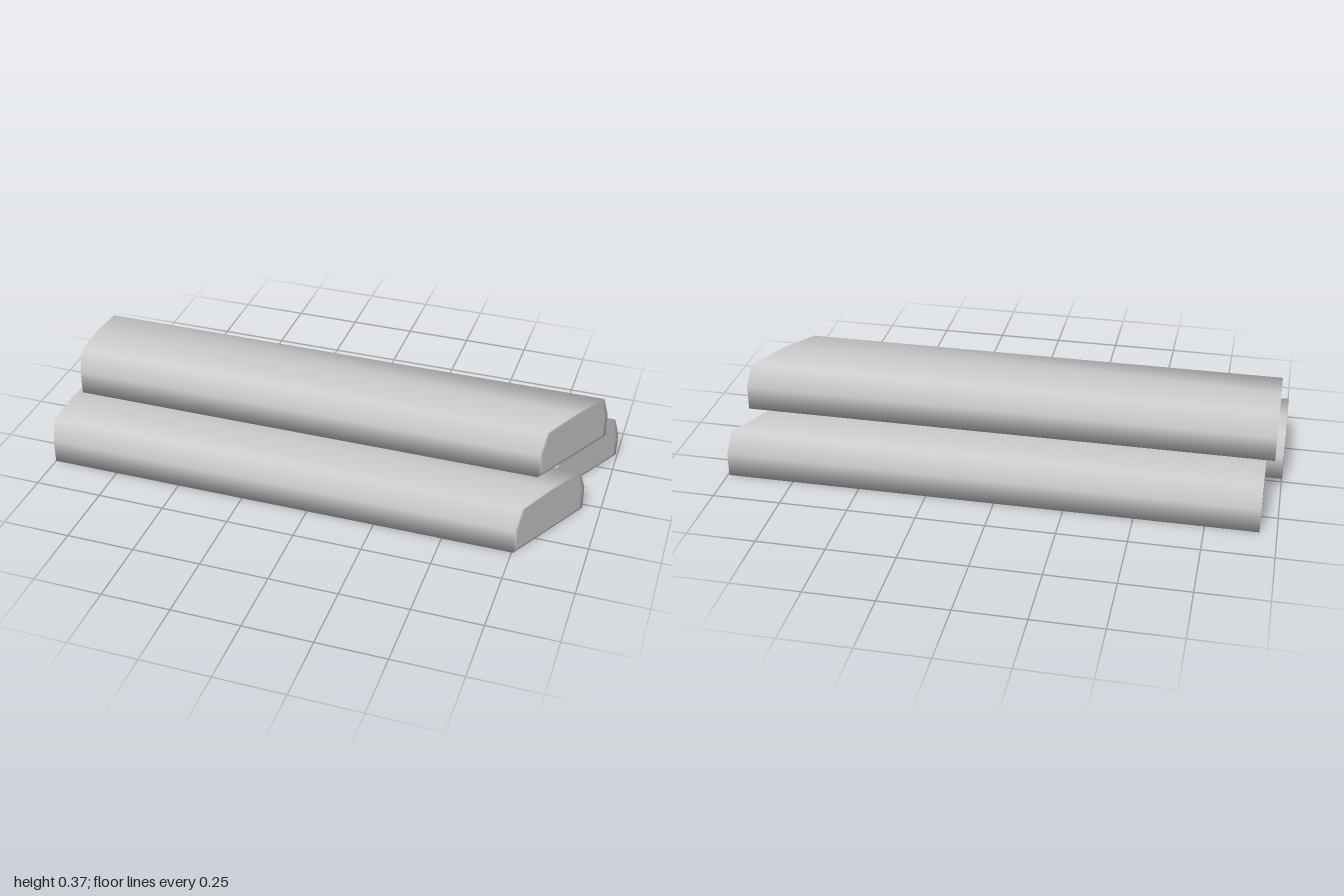
import * as THREE from 'three';

// Half-rounded plank section, as [z, y]
const SECTION = [
  [0.166, 0], [0.166, 0.091], [0.139, 0.172], [0, 0.181],
  [-0.139, 0.172], [-0.166, 0.091], [-0.166, 0],
];
const MID_Y = 0.09;

// One log: square left end, mitred right end, softly shaded edges
function logGeometry() {
  const pos = [], index = [];
  const n = SECTION.length;
  const left = -0.97;
  const right = (z) => 0.875 - z * 0.54;
  const rings = [[left, 0.9], [left, 1], [right, 1], [right, 0.9]];
  for (const [end, s] of rings) {
    for (const [z0, y0] of SECTION) {
      const z = z0 * s, y = MID_Y + (y0 - MID_Y) * s;
      pos.push(typeof end === 'function' ? end(z) : end, y, z);
    }
  }
  // Sides and the narrow rim around each end
  for (let r = 0; r < rings.length - 1; r++) {
    for (let j = 0; j < n; j++) {
      const k = (j + 1) % n;
      const a = r * n + j, b = r * n + k, c = a + n, d = b + n;
      index.push(a, c, b, b, c, d);
    }
  }
  // End faces
  const l = pos.length / 3;
  pos.push(left, MID_Y, 0, right(0), MID_Y, 0);
  for (let j = 0; j < n; j++) {
    const k = (j + 1) % n;
    index.push(l, j, k, l + 1, 3 * n + k, 3 * n + j);
  }
  const g = new THREE.BufferGeometry();
  g.setAttribute('position', new THREE.Float32BufferAttribute(pos, 3));
  g.setIndex(index);
  g.computeVertexNormals();
  return g;
}

export function createModel() {
  const group = new THREE.Group();
  group.name = 'logStack';
  const geometry = logGeometry();
  const material = new THREE.MeshStandardMaterial({ color: 0xcccccc });

  // Two logs below, one resting above, each shifted along its length
  const logs = [
    ['frontLog', -0.03, 0, 0.187],
    ['topLog', 0, 0.19, -0.015],
    ['backLog', 0.03, 0, -0.187],
  ];
  for (const [name, x, y, z] of logs) {
    const mesh = new THREE.Mesh(geometry, material);
    mesh.name = name;
    mesh.position.set(x, y, z);
    group.add(mesh);
  }
  return group;
}
